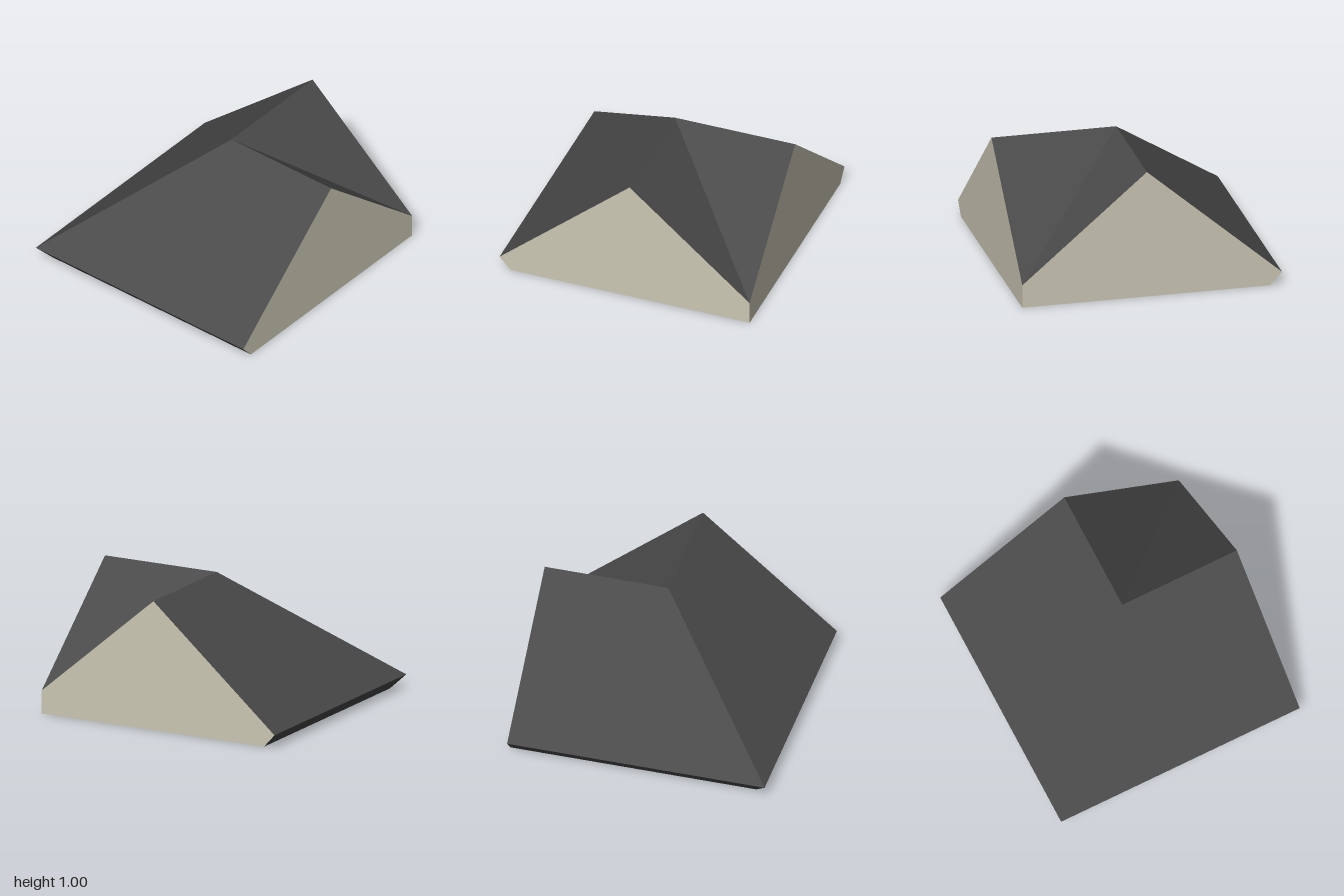
import * as THREE from 'three';

// Key dimensions of the corner roof
const RIDGE = 0.04, TOP = 1, EAVE = 0.1, BASE = -0.91, VALLEY = 0.18;

// Flat convex polygon, corners counter-clockwise seen from outside
function panel(name, corners, material) {
  const points = [];
  for (let i = 1; i < corners.length - 1; i++) {
    points.push(...corners[0], ...corners[i], ...corners[i + 1]);
  }
  const geometry = new THREE.BufferGeometry();
  geometry.setAttribute('position', new THREE.Float32BufferAttribute(points, 3));
  geometry.computeVertexNormals();
  const mesh = new THREE.Mesh(geometry, material);
  mesh.name = name;
  return mesh;
}

// Mirror across the diagonal x = z, keeping the faces outward
const mirror = (corners) => corners.map(([x, y, z]) => [z, y, x]).reverse();

export function createModel() {
  const group = new THREE.Group();
  group.name = 'cornerRoof';
  const roof = new THREE.MeshStandardMaterial({ color: 0x4a4a4a, flatShading: true });
  const wall = new THREE.MeshStandardMaterial({ color: 0xcbc7b4, flatShading: true });

  // Each part occurs on both wings of the roof
  const parts = [
    // gable end wall
    ['Gable', wall, [[BASE, 0, 1], [1, 0, 1], [1, VALLEY, 1], [RIDGE, TOP, 1], [-1, EAVE, 1]]],
    // long outer slope, meeting its twin at the hip
    ['OuterSlope', roof, [[-1, EAVE, -1], [-1, EAVE, 1], [RIDGE, TOP, 1], [RIDGE, TOP, RIDGE]]],
    // inner slope, meeting its twin at the valley
    ['InnerSlope', roof, [[RIDGE, TOP, RIDGE], [RIDGE, TOP, 1], [1, VALLEY, 1]]],
    // undercut eave edge
    ['Eave', roof, [[-1, EAVE, -1], [BASE, 0, BASE], [BASE, 0, 1], [-1, EAVE, 1]]],
  ];
  for (const [name, material, corners] of parts) {
    group.add(panel('first' + name, corners, material));
    group.add(panel('second' + name, mirror(corners), material));
  }

  // Underside
  group.add(panel('underside', [[BASE, 0, BASE], [1, 0, BASE], [1, 0, 1], [BASE, 0, 1]], wall));
  return group;
}
